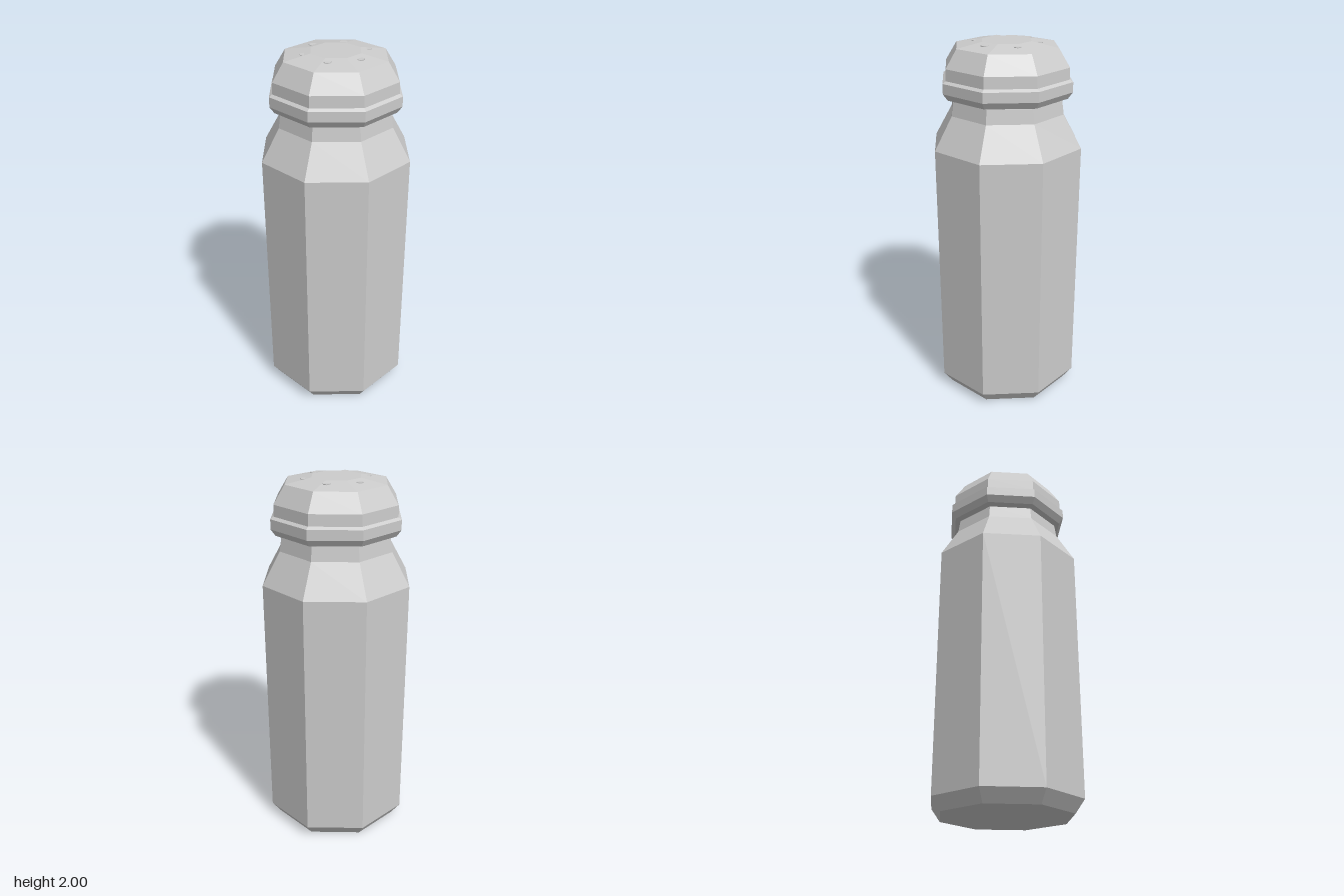
import * as THREE from 'three';

const SIDES = 8;

// Faceted octagonal solid from [distance to flat side, height] pairs, bottom to top
function octagonSolid(name, profile, material) {
  const k = 1 / Math.cos(Math.PI / SIDES);
  const points = profile.map(([r, y]) => new THREE.Vector2(r * k, y));
  const geometry = new THREE.LatheGeometry(points, SIDES, Math.PI / SIDES).toNonIndexed();
  geometry.computeVertexNormals();
  const mesh = new THREE.Mesh(geometry, material);
  mesh.name = name;
  return mesh;
}

export function createModel() {
  const group = new THREE.Group();
  group.name = 'shaker';
  const grey = new THREE.MeshStandardMaterial({ color: 0xcccccc });
  grey.name = 'light grey';

  // Bottle with bevelled foot, sloping shoulder and short neck
  group.add(octagonSolid('bottle', [
    [0, 0], [0.335, 0], [0.382, 0.07], [0.382, 1.46],
    [0.29, 1.635], [0.28, 1.71], [0, 1.71],
  ], grey));

  // Lid with a raised rim, sitting just above the neck
  group.add(octagonSolid('lid', [
    [0, 1.72], [0.308, 1.72], [0.331, 1.755], [0.331, 1.808],
    [0.315, 1.82], [0.313, 1.88], [0.257, 1.975], [0.125, 2], [0, 2],
  ], grey));

  // Ring of six sprinkle holes, as small discs set into the sloping top
  const discGeometry = new THREE.CylinderGeometry(0.021, 0.021, 0.012, SIDES);
  for (let i = 0; i < 6; i++) {
    const a = (i / 6) * Math.PI * 2;
    const disc = new THREE.Mesh(discGeometry, grey);
    disc.name = 'sprinkleHole' + (i + 1);
    disc.position.set(Math.cos(a) * 0.165, 1.988, Math.sin(a) * 0.165 - 0.002);
    group.add(disc);
  }
  return group;
}
